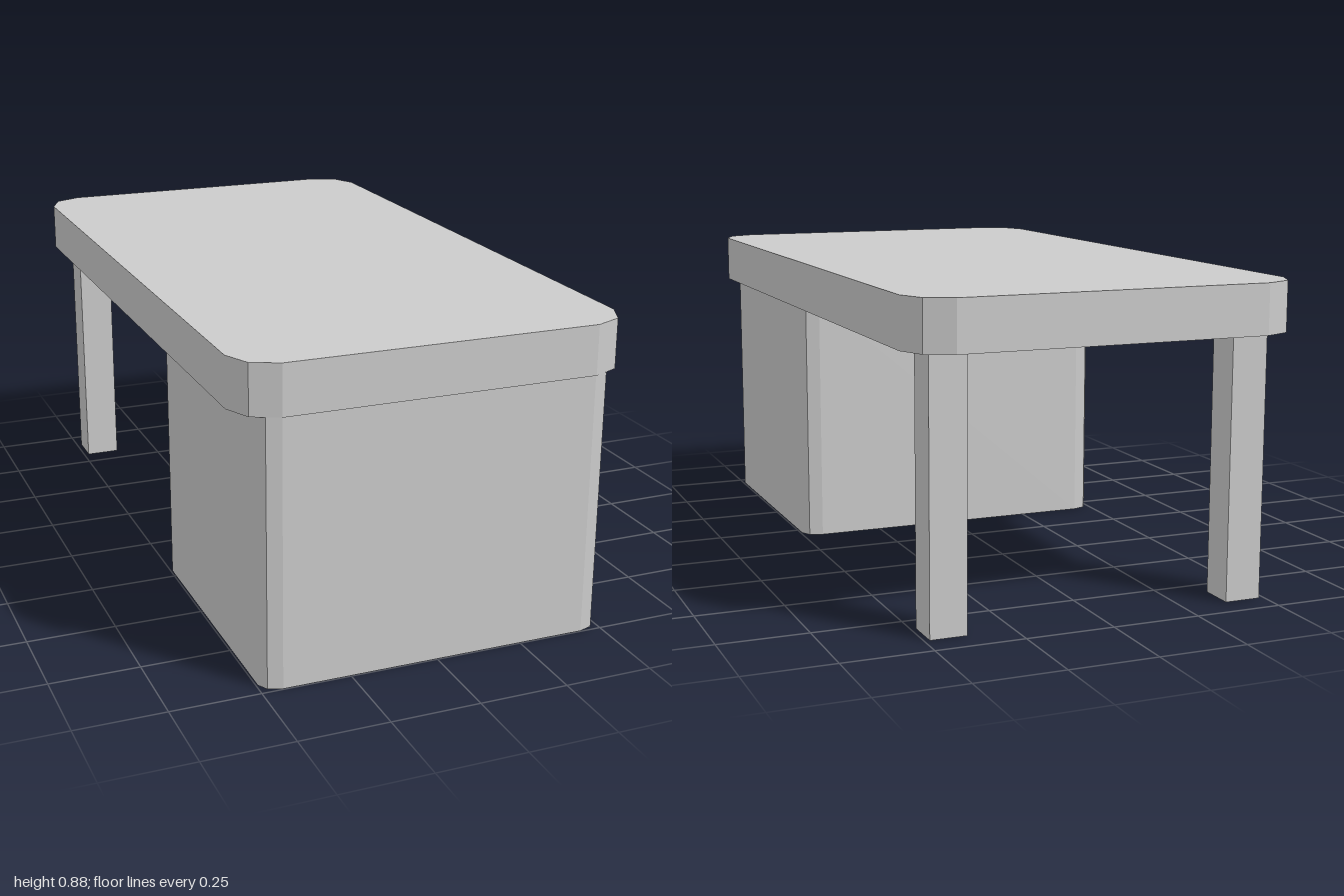
import * as THREE from 'three';

const TOP_Y = 0.745;

// Outline of a rectangle whose corners are cut by two facets each
function roundedOutline(x, z, cutX, midX, midZ, cutZ) {
  const corner = [[x, z - cutZ], [x - midX, z - midZ], [x - cutX, z]];
  const mirror = (sx, sz) => corner.map(([a, b]) => [a * sx, b * sz]);
  return [
    ...mirror(1, 1),
    ...mirror(-1, 1).reverse(),
    ...mirror(-1, -1),
    ...mirror(1, -1).reverse(),
  ];
}

// Vertical walls around an outline, open at top and bottom
function openWalls(outline, height) {
  const positions = [];
  outline.forEach(([ax, az], i) => {
    const [bx, bz] = outline[(i + 1) % outline.length];
    positions.push(ax, 0, az, ax, height, az, bx, height, bz);
    positions.push(ax, 0, az, bx, height, bz, bx, 0, bz);
  });
  const geometry = new THREE.BufferGeometry();
  geometry.setAttribute('position', new THREE.Float32BufferAttribute(positions, 3));
  geometry.computeVertexNormals();
  return geometry;
}

export function createModel() {
  const group = new THREE.Group();
  group.name = 'desk';
  const grey = new THREE.MeshStandardMaterial({ color: 0xcccccc, side: THREE.DoubleSide });
  grey.name = 'light grey';

  const add = (name, geometry, x, y, z) => {
    const mesh = new THREE.Mesh(geometry, grey);
    mesh.name = name;
    mesh.position.set(x, y, z);
    group.add(mesh);
  };

  // Solid table top with faceted corners
  const shape = new THREE.Shape(
    roundedOutline(0.55, 1, 0.11, 0.034, 0.034, 0.11).map(([x, z]) => new THREE.Vector2(x, z)));
  const top = new THREE.ExtrudeGeometry(shape, { depth: 0.14, bevelEnabled: false });
  top.rotateX(-Math.PI / 2);
  add('tableTop', top, 0, TOP_Y, 0);

  // Cabinet shell under the front half, open below
  const cabinet = openWalls(roundedOutline(0.495, 0.413, 0.055, 0.016, 0.013, 0.042), TOP_Y);
  add('cabinet', cabinet, 0, 0, 0.584);

  // Hollow square back legs
  const h = 0.052;
  const leg = openWalls([[h, -h], [h, h], [-h, h], [-h, -h]], TOP_Y);
  for (const side of [-1, 1]) {
    add(side > 0 ? 'leftLeg' : 'rightLeg', leg, side * 0.433, 0, -0.87);
  }
  return group;
}
